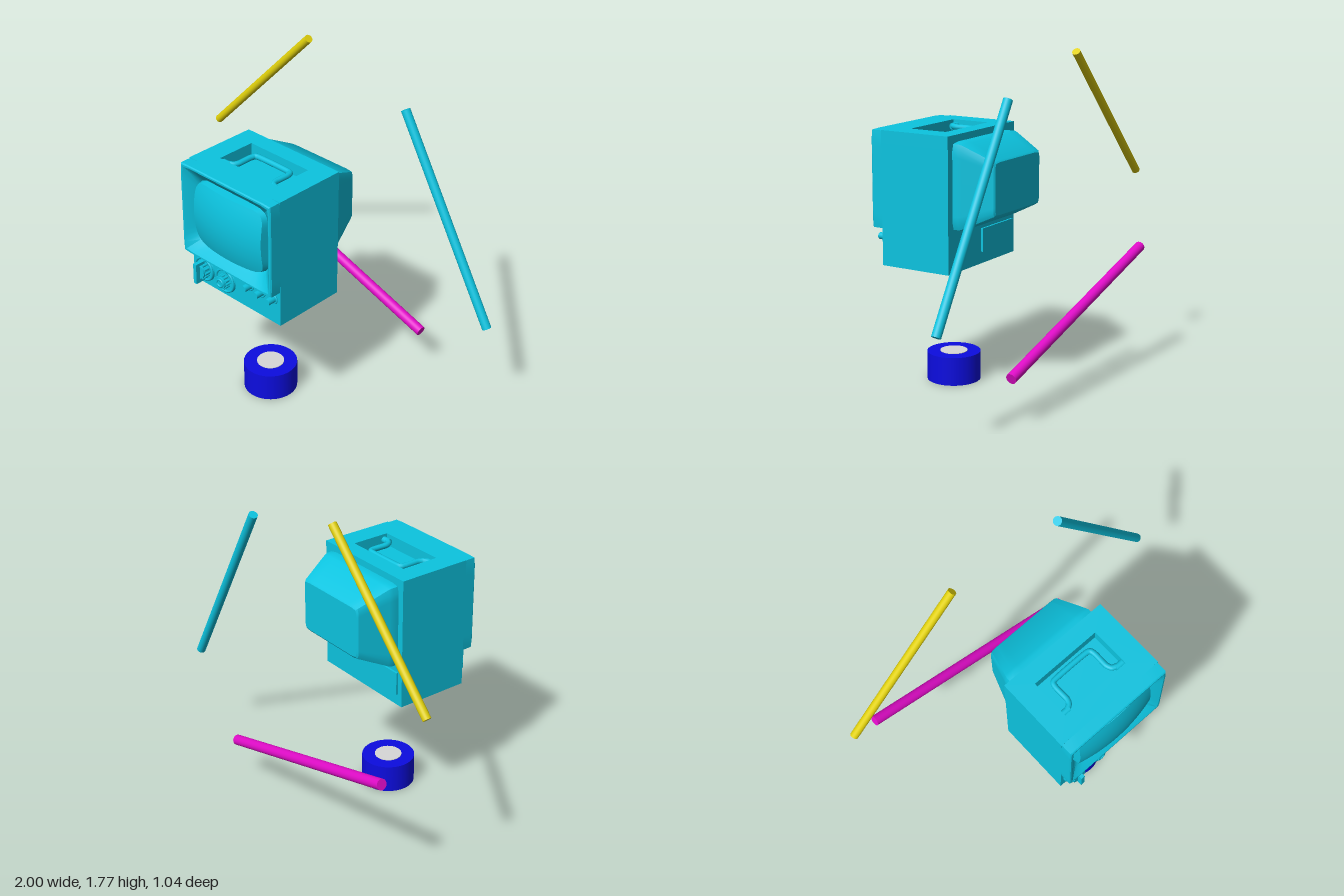
import * as THREE from 'three';
import { toCreasedNormals } from 'three/addons/utils/BufferGeometryUtils.js';

const mat = (name, color) => {
  const m = new THREE.MeshStandardMaterial({ color });
  m.name = name;
  return m;
};

// Skin through rounded-rectangle rings [cx, cy, halfWidth, halfHeight, squareness, z or z(x, y)]
function loft(rings, crease = 0.5, n = 64) {
  const pos = [], index = [];
  rings.forEach(([cx, cy, a, b, p, z], i) => {
    for (let j = 0; j < n; j++) {
      const t = (j / n) * Math.PI * 2, c = Math.cos(t), s = Math.sin(t);
      const r = Math.pow(Math.abs(c) ** p + Math.abs(s) ** p, -1 / p);
      const x = cx + a * r * c, y = cy + b * r * s;
      pos.push(x, y, typeof z === 'function' ? z(x, y) : z);
      if (i === 0) continue;
      const k = (j + 1) % n, lo = (i - 1) * n, hi = i * n;
      index.push(lo + j, lo + k, hi + k, lo + j, hi + k, hi + j);
    }
  });
  const g = new THREE.BufferGeometry();
  g.setAttribute('position', new THREE.Float32BufferAttribute(pos, 3));
  g.setIndex(index);
  return toCreasedNormals(g, crease);
}

export function createModel() {
  const cyan = mat('cyan', 0x0cc4e0);
  const yellow = mat('yellow', 0xe0d00c);
  const magenta = mat('magenta', 0xe00cc8);
  const blue = mat('blue', 0x0c0ce0);
  const pale = mat('pale grey', 0xd8d8d8);

  const model = new THREE.Group();
  const television = new THREE.Group();
  television.name = 'television';
  model.add(television);

  const add = (name, geo, material, parent = television) => {
    const m = new THREE.Mesh(geo, material);
    m.name = name;
    parent.add(m);
    return m;
  };
  const box = (name, x0, x1, y0, y1, z0, z1) =>
    add(name, new THREE.BoxGeometry(x1 - x0, y1 - y0, z1 - z0), cyan)
      .position.set((x0 + x1) / 2, (y0 + y1) / 2, (z0 + z1) / 2);

  // Cabinet, with a top layer cut out for the handle well
  const X0 = -0.325, X1 = 0.305, TOP = 1.366, WELL = 1.3;
  box('cabinet', X0, X1, 0.657, WELL, 0.027, 0.436);
  const rect = (S, x0, x1, z0, z1) => {
    const s = new S();
    s.moveTo(x0, -z1).lineTo(x1, -z1).lineTo(x1, -z0).lineTo(x0, -z0).closePath();
    return s;
  };
  const lid = rect(THREE.Shape, X0, X1, 0.027, 0.436);
  lid.holes.push(rect(THREE.Path, -0.21, 0.185, 0.12, 0.335));
  const lidGeo = new THREE.ExtrudeGeometry(lid, { depth: TOP - WELL, bevelEnabled: false });
  add('cabinetTop', lidGeo.rotateX(-Math.PI / 2).translate(0, WELL, 0), cyan);

  // Carrying handle folded into the well
  const cx = -0.0125;
  const half = [[0.172, 0.315], [0.14, 0.3], [0.128, 0.27], [0.128, 0.19], [0.105, 0.161]];
  const pts = [
    ...half.map(([x, z]) => new THREE.Vector3(cx - x, 1.338, z)),
    ...[...half].reverse().map(([x, z]) => new THREE.Vector3(cx + x, 1.338, z)),
  ];
  const path = new THREE.CatmullRomCurve3(pts, false, 'catmullrom', 0.3);
  add('handle', new THREE.TubeGeometry(path, 80, 0.015, 10), cyan);
  for (const s of [-1, 1]) {
    const foot = new THREE.CylinderGeometry(0.018, 0.018, 0.045, 16).rotateZ(Math.PI / 2);
    add('handlePivot', foot, cyan).position.set(cx + s * 0.175, 1.335, 0.315);
  }

  // Front frame sloping in to the picture tube
  const fx = -0.01, fy = 1.108, w = 0.315, h = 0.258;
  add('bezel', loft([
    [fx, fy, 0, 0, 40, 0.436],
    [fx, fy, w, h, 60, 0.436],
    [fx, fy, w, h, 60, 0.494],
    [fx, fy, w - 0.005, h - 0.005, 50, 0.5],
    [fx, fy, w - 0.014, h - 0.014, 30, 0.5],
    [fx, fy, 0.252, 0.192, 9, 0.455],
    [fx, fy, 0.243, 0.183, 7, 0.44],
  ]), cyan);
  const bulge = (x, y) => 0.52 - 0.55 * (x - fx) ** 2 - 0.93 * (y - fy) ** 2;
  const screen = [[fx, fy, 0.243, 0.183, 7, 0.44]];
  for (let i = 0; i <= 10; i++) {
    const s = 0.975 * (1 - i / 10);
    screen.push([fx, fy, 0.243 * s, 0.183 * s, 7, bulge]);
  }
  add('screen', loft(screen, 0.6), cyan);

  // Tapered tube housing and access cover at the back
  const by = 1.104;
  add('tubeHousing', loft([
    [cx, 1.103, 0, 0, 20, -0.187],
    [cx, 1.103, 0.214, 0.134, 20, -0.187],
    [cx, 1.103, 0.223, 0.143, 20, -0.18],
    [cx, by, 0.272, 0.22, 20, -0.024],
    [cx, by, 0.278, 0.226, 20, -0.005],
    [cx, by, 0.278, 0.226, 20, 0.03],
  ]), cyan);
  box('rearCover', -0.295, 0, 0.72, 0.845, 0.016, 0.03);

  // Control knobs
  const disc = (name, x, y, r, z0, z1, sides = 32) =>
    add(name, new THREE.CylinderGeometry(r * 0.95, r, z1 - z0, sides).rotateX(Math.PI / 2), cyan)
      .position.set(x, y, (z0 + z1) / 2);
  const ring = (name, x, y, z, r, t) =>
    add(name, new THREE.TorusGeometry(r, t, 8, 40), cyan).position.set(x, y, z);
  const PANEL = 0.436, KY = 0.75;

  for (const [x, hub, depth] of [[-0.238, 0.042, 0.485], [-0.083, 0.034, 0.48]]) {
    disc('dialPlate', x, KY, 0.07, PANEL, 0.446);
    ring('dialRim', x, KY, 0.446, 0.062, 0.007);
    disc('dialHub', x, KY, hub, PANEL, depth);
    for (let i = 0; i < 12; i++) {
      const a = (i / 12) * Math.PI * 2;
      disc('dialGrip', x + hub * Math.cos(a), KY + hub * Math.sin(a), 0.007, PANEL, depth - 0.008, 8);
    }
  }
  box('dialPointer', -0.249, -0.227, 0.69, 0.805, 0.45, 0.51);
  ring('dialCap', -0.083, KY, 0.48, 0.02, 0.006);

  for (const x of [0.093, 0.176, 0.259]) {
    ring('smallKnobCollar', x, 0.8, 0.44, 0.024, 0.005);
    disc('smallKnob', x, 0.8, 0.019, PANEL, 0.486, 14);
  }

  // Loose rods around the television
  const rod = (name, a, b, r, material) => {
    const p = new THREE.Vector3(...a), q = new THREE.Vector3(...b);
    const m = add(name, new THREE.CylinderGeometry(r, r, p.distanceTo(q), 24), material, model);
    m.position.copy(p).lerp(q, 0.5);
    m.quaternion.setFromUnitVectors(new THREE.Vector3(0, 1, 0), q.sub(p).normalize());
  };
  rod('yellowRod', [-0.984, 1.04, -0.37], [-0.28, 1.758, -0.367], 0.022, yellow);
  rod('cyanRod', [0.38, 1.586, -0.368], [0.979, 0.569, -0.358], 0.024, cyan);
  rod('magentaRod', [-0.812, 0.652, -0.49], [0.485, 0.25, -0.455], 0.028, magenta);

  // Drum with a pale disc on top
  add('drum', new THREE.CylinderGeometry(0.143, 0.143, 0.153, 48), blue, model)
    .position.set(-0.006, 0.0765, 0.204);
  add('drumDisc', new THREE.CylinderGeometry(0.073, 0.073, 0.004, 40), pale, model)
    .position.set(-0.006, 0.154, 0.204);

  return model;
}
